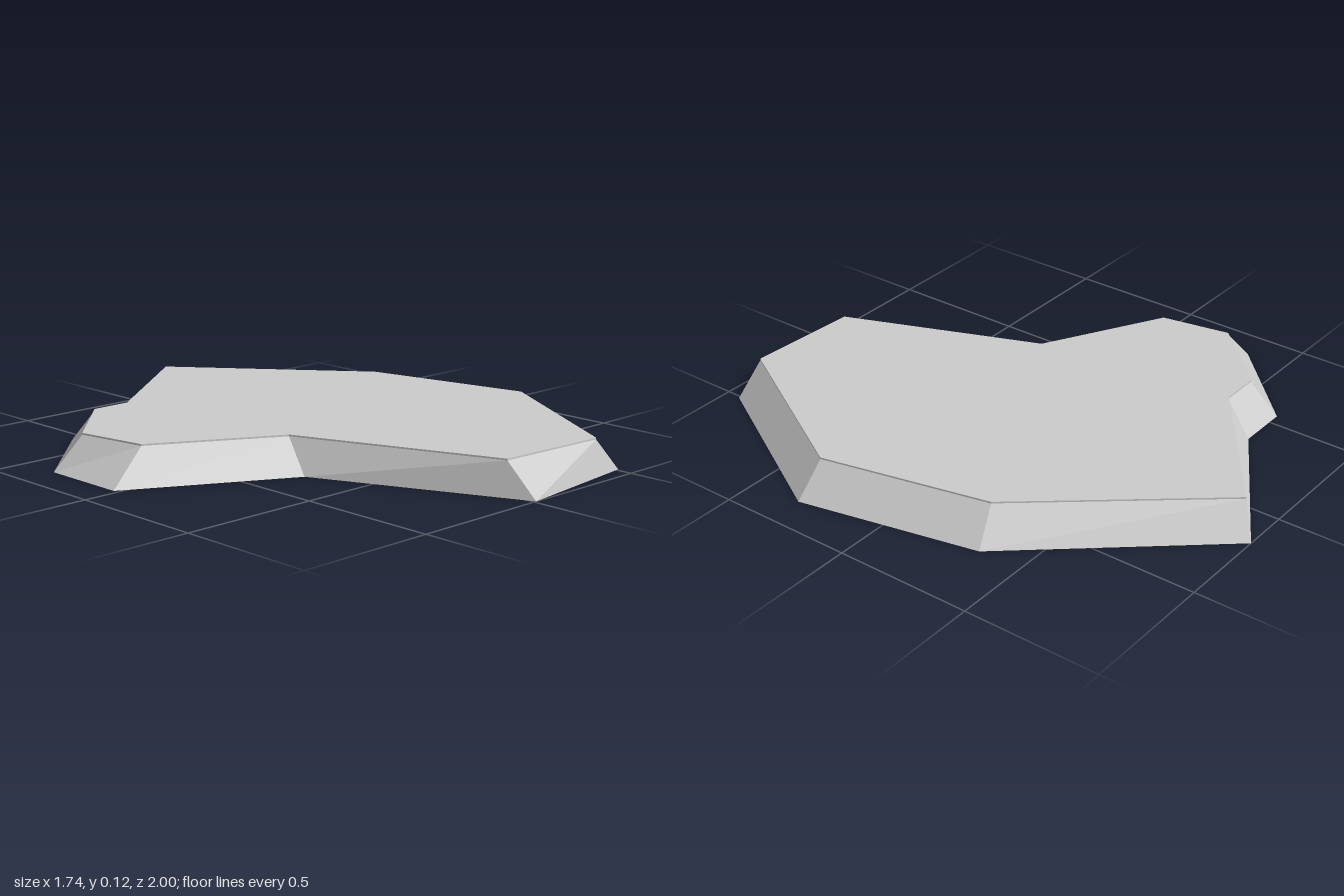
import * as THREE from 'three';

// Outline corners [x, z], clockwise seen from above
const base = [[0.17, -1], [0.73, -0.34], [0.87, 0.31], [0.51, 0.94], [0.01, 1],
  [-0.31, 0.28], [-0.87, -0.02], [-0.87, -0.34], [-0.55, -0.66], [-0.36, -0.66]];
const rim = [[0.115, -0.94], [0.63, -0.31], [0.765, 0.3], [0.41, 0.92], [-0.01, 0.895],
  [-0.29, 0.185], [-0.725, -0.055], [-0.77, -0.31], [-0.525, -0.56], [-0.38, -0.56]];

const material = new THREE.MeshStandardMaterial({ color: 0xcccccc, flatShading: true });

function makeMesh(name, triangles) {
  const geometry = new THREE.BufferGeometry();
  geometry.setAttribute('position', new THREE.Float32BufferAttribute(triangles.flat(2), 3));
  geometry.computeVertexNormals();
  const mesh = new THREE.Mesh(geometry, material);
  mesh.name = name;
  return mesh;
}

// Ring of 3D points at one height
const ring = (outline, y) => outline.map(([x, z]) => [x, y, z]);

// Wall of triangles between two rings, facing outward
function wall(low, high) {
  return low.flatMap((b0, i) => {
    const j = (i + 1) % low.length;
    return [[b0, high[i], low[j]], [low[j], high[i], high[j]]];
  });
}

// Flat cap over a concave ring, wound to face up or down
function cap(points, up) {
  const contour = points.map(([x, , z]) => new THREE.Vector2(x, z));
  return THREE.ShapeUtils.triangulateShape(contour, []).map((face) => {
    const clockwise = THREE.ShapeUtils.area(face.map((i) => contour[i])) > 0;
    const order = clockwise === up ? [...face].reverse() : face;
    return order.map((i) => points[i]);
  });
}

export function createModel() {
  const bottom = ring(base, 0);
  const shoulder = ring(rim, 0.117);
  const top = ring(rim, 0.123);

  const group = new THREE.Group();
  group.name = 'rockSlab';
  group.add(
    makeMesh('slopedSides', wall(bottom, shoulder)),
    makeMesh('topLip', wall(shoulder, top)), // thin upright edge under the top
    makeMesh('topFace', cap(top, true)),
    makeMesh('underside', cap(bottom, false)),
  );
  return group;
}
